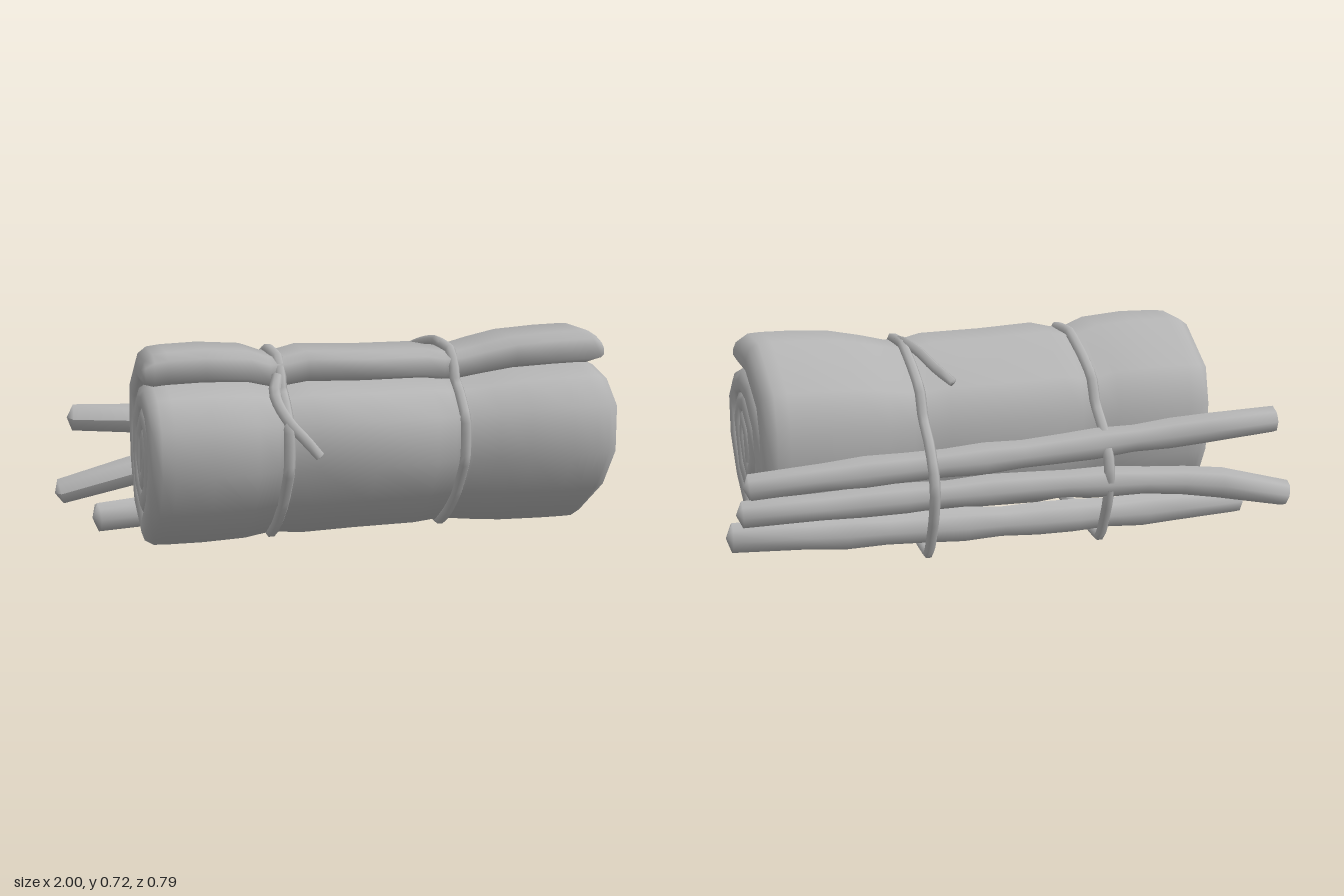
import * as THREE from 'three';

const gray = new THREE.MeshStandardMaterial({ color: 0xb4b4b4 });
gray.name = 'plain gray';

// Centre line of the rolled blanket as [z, y, half thickness], from the loose flap inwards
const SPIRAL = [
  [0.24, 0.665, 0.035], [0.19, 0.667, 0.056], [0.03, 0.665, 0.06], [-0.145, 0.558, 0.06],
  [-0.178, 0.45, 0.054], [-0.168, 0.29, 0.053], [-0.092, 0.153, 0.052], [0.085, 0.085, 0.051],
  [0.255, 0.21, 0.05], [0.338, 0.335, 0.05], [0.338, 0.47, 0.05], [0.27, 0.535, 0.049],
  [0.165, 0.565, 0.048], [0.05, 0.548, 0.053], [-0.06, 0.46, 0.055], [-0.092, 0.335, 0.052],
  [-0.052, 0.228, 0.049], [0.065, 0.178, 0.047], [0.198, 0.25, 0.046], [0.254, 0.41, 0.046],
  [0.2, 0.485, 0.044], [0.125, 0.5, 0.044], [0.03, 0.43, 0.044], [0.005, 0.32, 0.042],
  [0.07, 0.25, 0.038], [0.13, 0.29, 0.036], [0.175, 0.37, 0.034], [0.15, 0.44, 0.032],
  [0.105, 0.4, 0.03], [0.085, 0.29, 0.02],
];
const MID = [0.08, 0.36];
const LOOP = [2, 12]; // points of the outermost wrap

// Stations along the roll: [x, front scale, top scale, thickness factor]
const STATIONS = [
  [-0.765, 0.9, 0.92, 0.3], [-0.755, 0.93, 0.94, 0.75], [-0.725, 0.94, 0.96, 1],
  [-0.68, 0.935, 0.975, 1], [-0.55, 0.93, 0.985, 1], [-0.4, 0.9, 0.955, 1],
  [-0.33, 0.85, 0.885, 1], [-0.27, 0.86, 0.885, 1], [-0.2, 0.93, 0.93, 1], [0, 0.95, 0.905, 1],
  [0.22, 0.92, 0.9, 1], [0.29, 0.85, 0.86, 1], [0.35, 0.85, 0.86, 1], [0.44, 0.92, 0.92, 1],
  [0.55, 0.96, 0.98, 1], [0.7, 1, 1.005, 1], [0.79, 0.985, 1.01, 1], [0.835, 0.96, 1.005, 1],
  [0.868, 0.95, 0.985, 0.75], [0.88, 0.92, 0.96, 0.3],
];
const FOLD = 3; // how many stations deep the end grooves run

// Offsets the spiral to both sides, giving one closed outline
function section(front, top, thick) {
  const n = SPIRAL.length, rest = 0.5 + 0.5 * top;
  const dir = (i) => {
    const a = SPIRAL[i], b = SPIRAL[i + 1];
    return new THREE.Vector2(b[0] - a[0], b[1] - a[1]).normalize();
  };
  const outer = [], inner = [];
  SPIRAL.forEach(([z, y, t], i) => {
    const a = dir(Math.max(i - 1, 0)), b = dir(Math.min(i, n - 2));
    const d = a.clone().add(b).normalize();
    const h = (t * thick) / Math.max(d.dot(b), 0.75);
    const place = (s) => {
      const dz = z + s * d.y * h - MID[0], dy = y - s * d.x * h - MID[1];
      return [MID[0] + dz * (dz > 0 ? front : rest), MID[1] + dy * (dy > 0 ? top : rest)];
    };
    outer.push(place(1));
    inner.push(place(-1));
  });
  return outer.concat(inner.reverse());
}

function rollGeometry() {
  const pos = [], index = [], n = SPIRAL.length, m = 2 * n, count = STATIONS.length;
  // The roll is slightly shorter towards its back
  for (const [x, front, top, thick] of STATIONS)
    for (const [z, y] of section(front, top, thick)) pos.push(x * (0.987 + 0.05 * z), y, z);
  const last = (count - 1) * m;
  // Outer skin runs the whole length, inner folds only near the ends
  for (let s = 0; s < count - 1; s++)
    for (let j = 0; j < m; j++) {
      const outside = j < 14 || j >= m - 4;
      if (!outside && s >= FOLD && s < count - 1 - FOLD) continue;
      const a = s * m + j, b = s * m + ((j + 1) % m);
      index.push(a, a + m, b, b, a + m, b + m);
    }
  // Close both ends with a strip between the two sides of the cloth
  for (let i = 0; i < n - 1; i++) {
    const o = i, p = i + 1, q = m - 2 - i, r = m - 1 - i;
    index.push(last + o, last + r, last + q, last + o, last + q, last + p);
    index.push(o, q, r, o, p, q);
  }
  // Floors at the bottom of the grooves
  for (const [s, flip] of [[FOLD, true], [count - 1 - FOLD, false]]) {
    const base = pos.length / 3, size = LOOP[1] - LOOP[0] + 1;
    pos.push(STATIONS[s][0], MID[1], MID[0]);
    for (let i = LOOP[0]; i <= LOOP[1]; i++) {
      const k = (s * m + i) * 3;
      pos.push(pos[k], pos[k + 1], pos[k + 2]);
    }
    for (let i = 0; i < size; i++) {
      const a = base + 1 + i, b = base + 1 + ((i + 1) % size);
      index.push(base, ...(flip ? [a, b] : [b, a]));
    }
  }
  const g = new THREE.BufferGeometry();
  g.setAttribute('position', new THREE.Float32BufferAttribute(pos, 3));
  g.setIndex(index);
  g.computeVertexNormals();
  return g;
}

// Tube with blunt closed ends and a slightly knotty radius
function rod(points, radius, segs, sides, knots) {
  const curve = new THREE.CatmullRomCurve3(points.map((p) => new THREE.Vector3(...p)));
  const g = new THREE.TubeGeometry(curve, segs, radius, sides, false);
  const pos = g.attributes.position, v = new THREE.Vector3();
  for (let i = 0; i <= segs; i++) {
    const c = curve.getPointAt(i / segs);
    const end = i === 0 || i === segs, near = i === 1 || i === segs - 1;
    const tip = curve.getPointAt(i < segs / 2 ? 0 : 1);
    const k = end ? 0 : near ? 0.9 : 1 + knots * Math.sin(i * 2.3 + points[0][1] * 20);
    for (let j = 0; j <= sides; j++) {
      const id = i * (sides + 1) + j;
      v.fromBufferAttribute(pos, id).sub(c).multiplyScalar(k).add(c);
      if (near) v.addScaledVector(tip.clone().sub(c), 0.85);
      pos.setXYZ(id, v.x, v.y, v.z);
    }
  }
  g.computeVertexNormals();
  return g;
}

export function createModel() {
  const group = new THREE.Group();
  const add = (name, geometry) => {
    const mesh = new THREE.Mesh(geometry, gray);
    mesh.name = name;
    group.add(mesh);
  };

  add('blanketRoll', rollGeometry());

  // Sticks carried behind the roll
  add('upperStick', rod([[-0.95, 0.41, -0.335], [-0.7, 0.395, -0.325], [-0.3, 0.37, -0.31],
    [0, 0.355, -0.31], [0.4, 0.34, -0.295], [0.7, 0.325, -0.275], [0.94, 0.305, -0.255]], 0.053, 14, 8, 0.08));
  add('middleStick', rod([[-1, 0.13, -0.35], [-0.9, 0.16, -0.35], [-0.6, 0.215, -0.34],
    [-0.1, 0.245, -0.335], [0.4, 0.24, -0.315], [0.97, 0.225, -0.28]], 0.052, 14, 8, 0.08));
  add('lowerStick', rod([[-0.89, 0.073, -0.178], [-0.5, 0.085, -0.225], [0, 0.105, -0.265],
    [0.5, 0.12, -0.262], [1, 0.135, -0.238]], 0.058, 14, 8, 0.08));

  // Cords tied around the roll and the sticks, as [z, y]
  const loop = [[0.22, 0.62], [0.18, 0.675], [0.03, 0.685], [-0.1, 0.63], [-0.192, 0.575],
    [-0.23, 0.49], [-0.305, 0.42], [-0.36, 0.335], [-0.375, 0.26], [-0.352, 0.16], [-0.285, 0.025],
    [-0.15, 0.035], [0, 0.055], [0.085, 0.047], [0.17, 0.1], [0.262, 0.19], [0.345, 0.325],
    [0.348, 0.46], [0.275, 0.55], [0.23, 0.58]];
  const cord = (name, x, lean, r) => {
    const pts = loop.map(([z, y]) => new THREE.Vector3(x + lean * (y - 0.35), y, z));
    const curve = new THREE.CatmullRomCurve3(pts, true, 'catmullrom', 0.2);
    add(name, new THREE.TubeGeometry(curve, 60, r, 6, true));
  };
  cord('rightCord', -0.3, 0.01, 0.02);
  cord('leftCord', 0.32, 0, 0.019);

  // Loose cord ends
  add('rightCordEnd', rod([[-0.31, 0.63, 0.225], [-0.33, 0.57, 0.27], [-0.3, 0.49, 0.335],
    [-0.25, 0.43, 0.36], [-0.2, 0.37, 0.375]], 0.02, 12, 6, 0));
  add('leftCordEnd', rod([[0.32, 0.685, 0.1], [0.31, 0.69, 0.03], [0.28, 0.67, -0.05],
    [0.25, 0.635, -0.12], [0.2, 0.59, -0.19]], 0.018, 12, 6, 0));

  return group;
}
